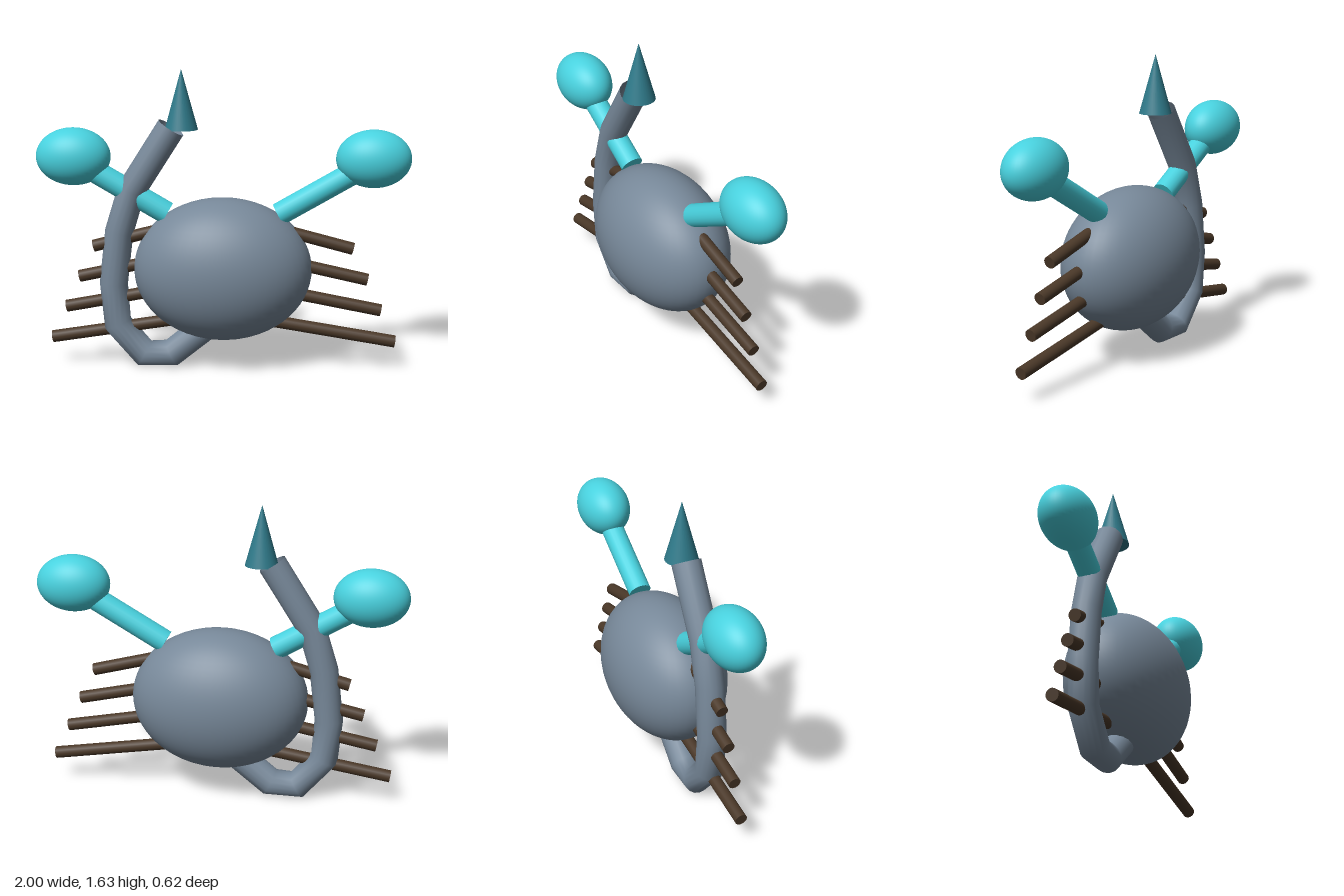
import * as THREE from 'three';

const paint = (color, side = THREE.FrontSide) => new THREE.MeshStandardMaterial({ color, side });

// Polyline whose parameter steps evenly from corner to corner
class Polyline extends THREE.Curve {
  constructor(points) {
    super();
    this.points = points.map(([x, y]) => new THREE.Vector3(x, y, 0));
  }
  getPoint(t, target = new THREE.Vector3()) {
    const n = this.points.length - 1;
    const i = Math.min(Math.floor(t * n + 1e-9), n - 1);
    return target.lerpVectors(this.points[i], this.points[i + 1], t * n - i);
  }
  getPointAt(u, target) { return this.getPoint(u, target); }
  getTangentAt(u, target) { return this.getTangent(u, target); }
}

export function createModel() {
  const model = new THREE.Group();
  model.name = 'scorpionCreature';
  const grey = paint(0x778899);
  const cyan = paint(0x48d1de);
  const brown = paint(0x4a3828);

  const add = (name, geometry, material) => {
    const mesh = new THREE.Mesh(geometry, material);
    mesh.name = name;
    model.add(mesh);
    return mesh;
  };
  const ellipsoid = (name, center, radii, material) => {
    const geometry = new THREE.SphereGeometry(1, 48, 32).scale(...radii);
    add(name, geometry, material).position.set(...center);
  };
  // Cylinder between two points in the z = 0 plane
  const rod = (name, [x0, y0], [x1, y1], radius, material) => {
    const dx = x1 - x0, dy = y1 - y0;
    const mesh = add(name, new THREE.CylinderGeometry(radius, radius, Math.hypot(dx, dy), 20), material);
    mesh.position.set((x0 + x1) / 2, (y0 + y1) / 2, 0);
    mesh.rotation.z = Math.atan2(-dx, dy);
  };

  // Body
  ellipsoid('body', [0, 0.56, 0], [0.48, 0.39, 0.31], grey);

  // Legs as [tip x, tip y, downward slope], top to bottom
  const legs = [[0.70, 0.68, 0.26], [0.78, 0.51, 0.22], [0.855, 0.34, 0.19], [0.935, 0.165, 0.16]];
  for (const [side, s] of [['left', 1], ['right', -1]]) {
    rod(side + 'Arm', [s * 0.3, 0.865], [s * 0.72, 1.11], 0.062, cyan);
    ellipsoid(side + 'Claw', [s * 0.8, 1.17, 0], [0.2, 0.155, 0.14], cyan);
    legs.forEach(([x, y, slope], i) => {
      const root = 0.26;
      rod(`${side}Leg${i + 1}`, [s * root, y + (x - root) * slope], [s * x, y], 0.033, brown);
    });
  }

  // Tail: hooks under the body and rises along its right side
  const path = new Polyline([
    [-0.05, 0.27], [-0.28, 0.082], [-0.43, 0.078], [-0.575, 0.246],
    [-0.594, 0.473], [-0.56, 0.76], [-0.49, 0.99], [-0.275, 1.329],
  ]);
  add('tail', new THREE.TubeGeometry(path, 7, 0.077, 16), paint(0x778899, THREE.DoubleSide));

  // Stinger
  add('stinger', new THREE.ConeGeometry(0.088, 0.32, 32), paint(0x2f7a8a)).position.set(-0.22, 1.48, 0);

  return model;
}
